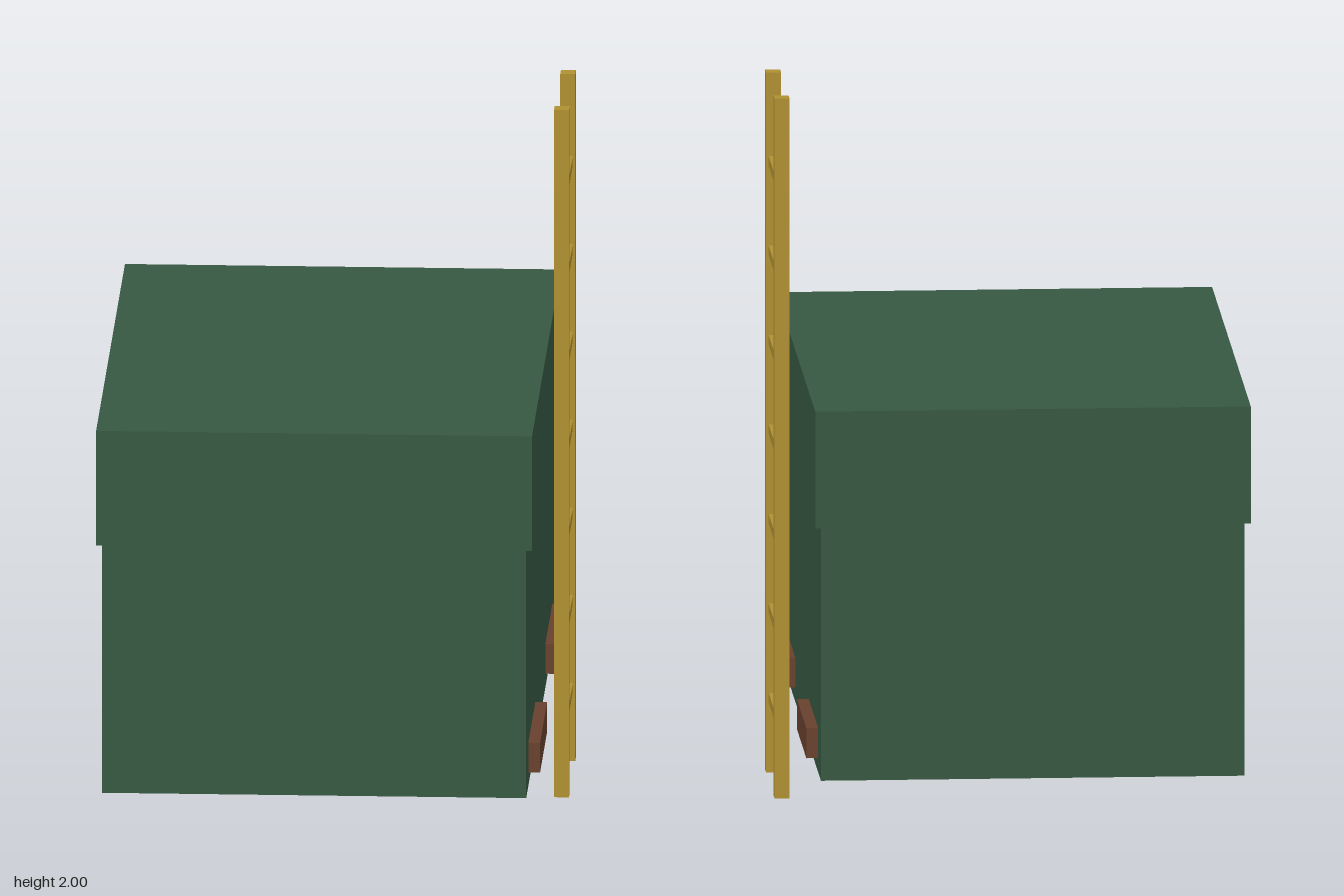
import * as THREE from 'three';

const green = new THREE.MeshStandardMaterial({ color: 0x365841 });
green.name = 'dark green';
const yellow = new THREE.MeshStandardMaterial({ color: 0xb09030 });
yellow.name = 'ochre yellow';
const brown = new THREE.MeshStandardMaterial({ color: 0x68402d });
brown.name = 'brown';

// Box given by its extents on each axis
function box(name, material, [x0, x1], [y0, y1], [z0, z1]) {
  const mesh = new THREE.Mesh(new THREE.BoxGeometry(x1 - x0, y1 - y0, z1 - z0), material);
  mesh.position.set((x0 + x1) / 2, (y0 + y1) / 2, (z0 + z1) / 2);
  mesh.name = name;
  return mesh;
}

export function createModel() {
  const model = new THREE.Group();
  model.name = 'boxWithLadder';

  // Container and its overhanging lid
  model.add(box('body', green, [-0.634, 0.556, ], [0.176, 1.2], [-0.85, 0.85]));
  model.add(box('lid', green, [-0.65, 0.573], [0.9, 1.234], [-0.867, 0.867]));

  // Bumper blocks low on the ladder side
  for (const s of [-1, 1]) {
    const z = [s * 0.3, s * 0.724].sort((a, b) => a - b);
    model.add(box('bumper', brown, [0.55, 0.589], [0.216, 0.302], z));
  }

  // Ladder: two square rails and seven rungs
  const ladder = new THREE.Group();
  ladder.name = 'ladder';
  for (const z of [-0.187, 0.189]) {
    ladder.add(box('rail', yellow, [0.604, 0.646], [0, 2], [z - 0.021, z + 0.021]));
  }
  for (let i = 0; i < 7; i++) {
    const y = 0.214 + i * 0.2555;
    ladder.add(box('rung', yellow, [0.611, 0.639], [y - 0.014, y + 0.014], [-0.17, 0.17]));
  }
  model.add(ladder);

  return model;
}
